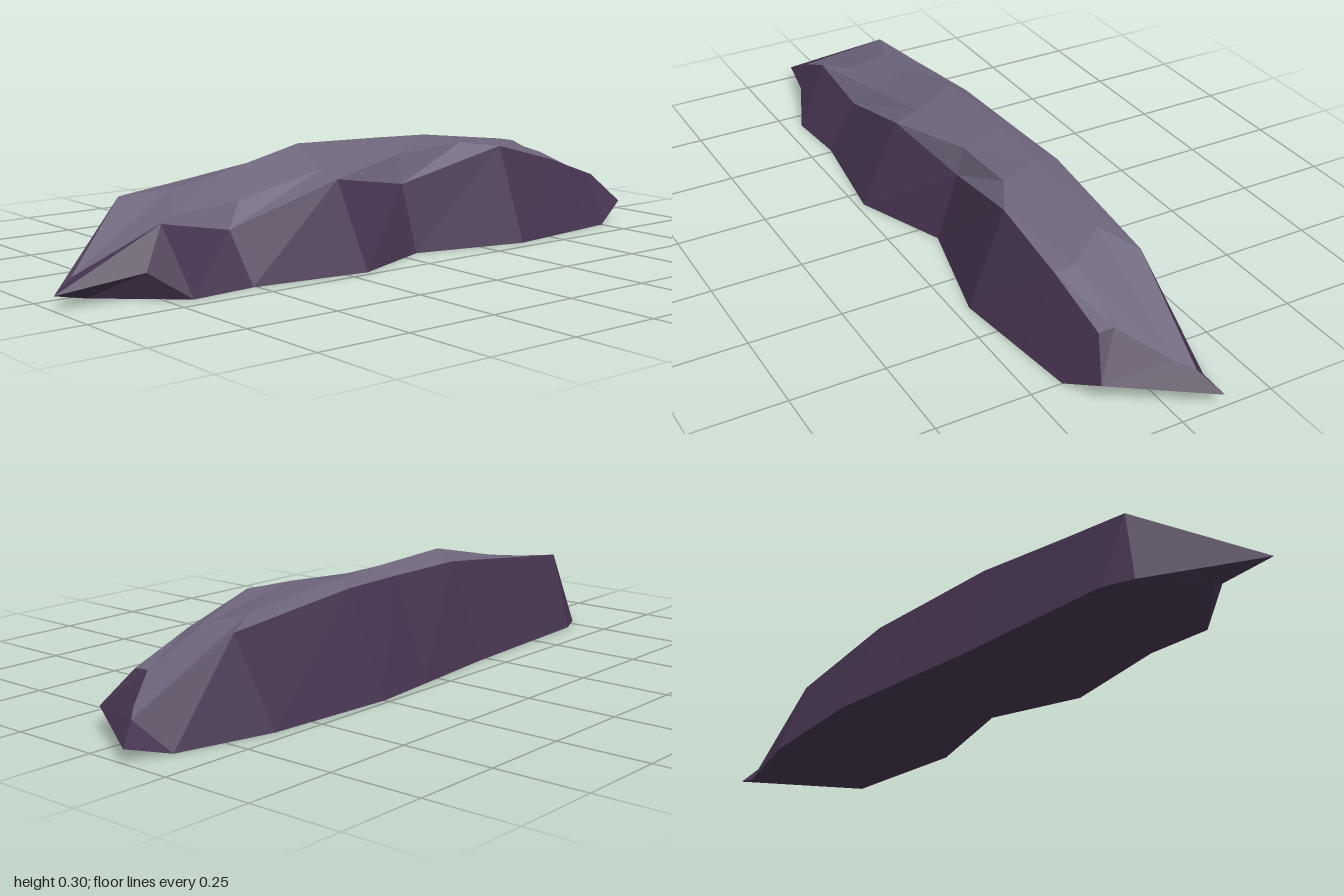
import * as THREE from 'three';

const P = (x, y, z) => new THREE.Vector3(x, y, z);
const row = (...pts) => pts.map((p) => P(...p));

// Lengthwise contour lines, each running from -x to +x
const frontBase = row([-0.69, 0, 0.2], [-0.51, 0, 0.185], [-0.19, 0, 0.23], [0.06, 0, 0.13], [0.38, 0, 0.21], [0.6, 0, 0.183], [0.75, 0, 0.165]);
const frontRim = row([-0.72, 0.17, 0.11], [-0.52, 0.13, 0.1], [-0.2, 0.225, 0.12], [0.06, 0.18, 0.07], [0.38, 0.26, 0.113], [0.6, 0.2, 0.1], [0.78, 0.138, 0.09]);
const crownFront = row([-0.66, 0.175, 0.06], [-0.46, 0.19, 0.055], [-0.2, 0.245, 0.055], [0.06, 0.258, 0.052], [0.28, 0.272, 0.055], [0.61, 0.215, 0.047], [0.78, 0.14, 0.047]);
const ridge = row([-0.6, 0.22, -0.045], [-0.45, 0.245, -0.045], [-0.2, 0.3, -0.048], [0.06, 0.292, -0.055], [0.25, 0.285, -0.06], [0.54, 0.25, -0.054], [0.9, 0.093, -0.037]);
const backRim = row([-0.72, 0.21, -0.085], [-0.5, 0.235, -0.09], [-0.2, 0.27, -0.1], [0.06, 0.272, -0.11], [0.25, 0.272, -0.12], [0.65, 0.23, -0.11], [0.94, 0.08, -0.075]);
const backBase = row([-0.78, 0, -0.12], [-0.7, 0, -0.155], [-0.22, 0, -0.185], [0.06, 0, -0.215], [0.25, 0, -0.235], [0.62, 0, -0.21], [0.88, 0, -0.145]);

// Pointed ends
const rightTip = P(1, 0.034, -0.115);
const rightBelt = P(0.86, 0.055, 0.13);
const leftTip = P(-1, 0.036, 0.1);
const leftBelt = P(-0.79, 0.07, 0.155);
const leftCrown = P(-0.94, 0.065, 0.07);
const leftBase = P(-0.88, 0, 0.03);

// Triangles between two contour lines
function strip(a, b) {
  const tris = [];
  for (let i = 0; i < a.length - 1; i++) {
    tris.push(a[i], a[i + 1], b[i + 1], a[i], b[i + 1], b[i]);
  }
  return tris;
}

// Triangles of a polygon, fanned from its first corner
function fan(...pts) {
  const tris = [];
  for (let i = 1; i < pts.length - 1; i++) tris.push(pts[0], pts[i], pts[i + 1]);
  return tris;
}

function part(name, tris, material) {
  const geometry = new THREE.BufferGeometry().setFromPoints(tris);
  geometry.computeVertexNormals();
  const mesh = new THREE.Mesh(geometry, material);
  mesh.name = name;
  return mesh;
}

export function createModel() {
  const darkRock = new THREE.MeshStandardMaterial({ color: 0x45334e });
  darkRock.name = 'darkPurpleRock';
  const paleRock = new THREE.MeshStandardMaterial({ color: 0x6d647a });
  paleRock.name = 'paleGreyRock';

  const end = frontBase.length - 1;
  const group = new THREE.Group();
  group.name = 'rockLedge';

  // Pale top with its sloping left nose
  group.add(part('topSurface', [
    ...strip(frontRim, crownFront),
    ...strip(crownFront, ridge),
    ...strip(ridge, backRim),
    ...fan(leftCrown, frontRim[0], crownFront[0], ridge[0], backRim[0]),
  ], paleRock));

  // Long sloping sides
  group.add(part('frontSide', strip(frontBase, frontRim), darkRock));
  group.add(part('backSide', strip(backRim, backBase), darkRock));

  // Facets around the +x point
  group.add(part('leftEnd', [
    ...fan(rightBelt, rightTip, backRim[end], ridge[end], crownFront[end], frontRim[end]),
    ...fan(frontBase[end], rightBelt, frontRim[end]),
    ...fan(frontBase[end], backBase[end], rightTip, rightBelt),
    ...fan(backRim[end], rightTip, backBase[end]),
  ], darkRock));

  // Facets around the -x point
  group.add(part('rightEnd', [
    ...fan(frontRim[0], leftCrown, leftTip, leftBelt),
    ...fan(frontBase[0], frontRim[0], leftBelt),
    ...fan(backRim[0], backBase[0], leftTip, leftCrown),
    ...fan(frontBase[0], leftBelt, leftBase),
    ...fan(leftBelt, leftTip, leftBase),
    ...fan(leftTip, backBase[0], leftBase),
  ], darkRock));

  // Flat underside
  group.add(part('underside', [
    ...strip(backBase, frontBase),
    ...fan(frontBase[0], leftBase, backBase[0]),
  ], darkRock));

  return group;
}
